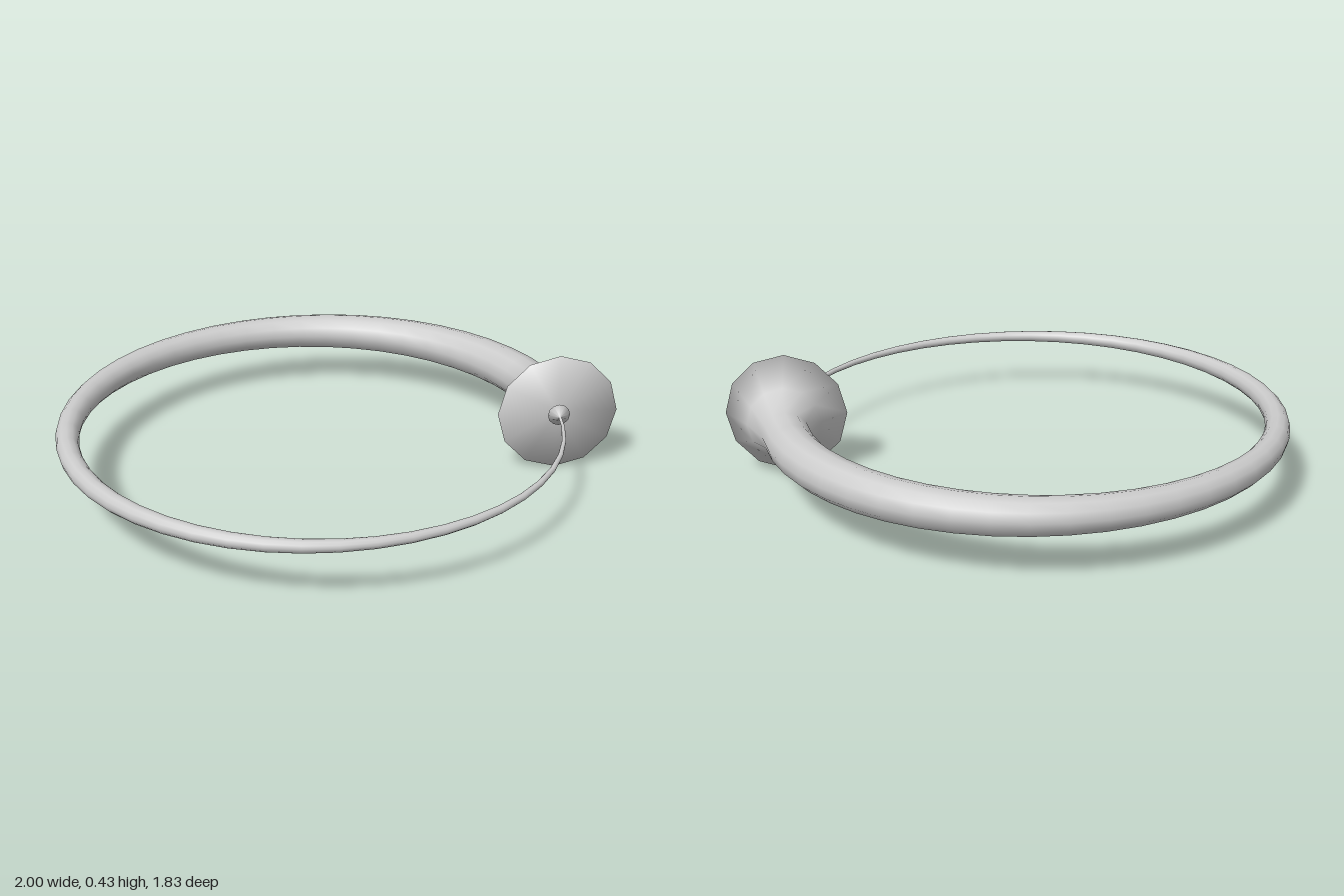
import * as THREE from 'three';

const SIDES = 12;
const RING = { x: -0.09, y: 0.217, z: 0.02, radius: 0.87 };

// Skin round cross-sections [angle, radius] placed along the ring; both ends are closed.
function sweep(sections) {
  const pos = [], index = [];
  const put = (a, out, up) => pos.push(
    RING.x + (RING.radius + out) * Math.cos(a),
    RING.y + up,
    RING.z - (RING.radius + out) * Math.sin(a));
  for (const [a, r] of sections) {
    for (let j = 0; j < SIDES; j++) {
      const p = (j / SIDES) * Math.PI * 2;
      put(a, r * Math.cos(p), r * Math.sin(p));
    }
  }
  const last = sections.length - 1;
  const first = sections.length * SIDES;
  put(sections[0][0], 0, 0);
  put(sections[last][0], 0, 0);
  for (let j = 0; j < SIDES; j++) {
    const k = (j + 1) % SIDES;
    for (let i = 0; i < last; i++) {
      const a = i * SIDES, b = a + SIDES;
      index.push(a + j, b + j, a + k, a + k, b + j, b + k);
    }
    index.push(first, j, k);
    index.push(first + 1, last * SIDES + k, last * SIDES + j);
  }
  const geo = new THREE.BufferGeometry();
  geo.setAttribute('position', new THREE.Float32BufferAttribute(pos, 3));
  geo.setIndex(index);
  geo.computeVertexNormals();
  return geo;
}

export function createModel() {
  const group = new THREE.Group();
  group.name = 'curvedHorn';
  const material = new THREE.MeshStandardMaterial({ color: 0xcccccc, side: THREE.DoubleSide });

  // Flared bell, then a tube tapering evenly round the circle
  const steps = 48;
  const sections = [[0.012, 0.217], [0.131, 0.13]];
  for (let i = 2; i < steps; i++) {
    const t = i / steps;
    sections.push([t * Math.PI * 2, 0.005 + 0.081 * (1 - t)  - 0.008 * Math.sin(t * Math.PI) * t]);
  }
  // Small cupped mouthpiece at the thin end
  sections.push([Math.PI * 2 - 0.04, 0.005], [Math.PI * 2 - 0.017, 0.04]);

  const horn = new THREE.Mesh(sweep(sections), material);
  horn.name = 'hornTubeWithBellAndMouthpiece';
  group.add(horn);
  return group;
}
